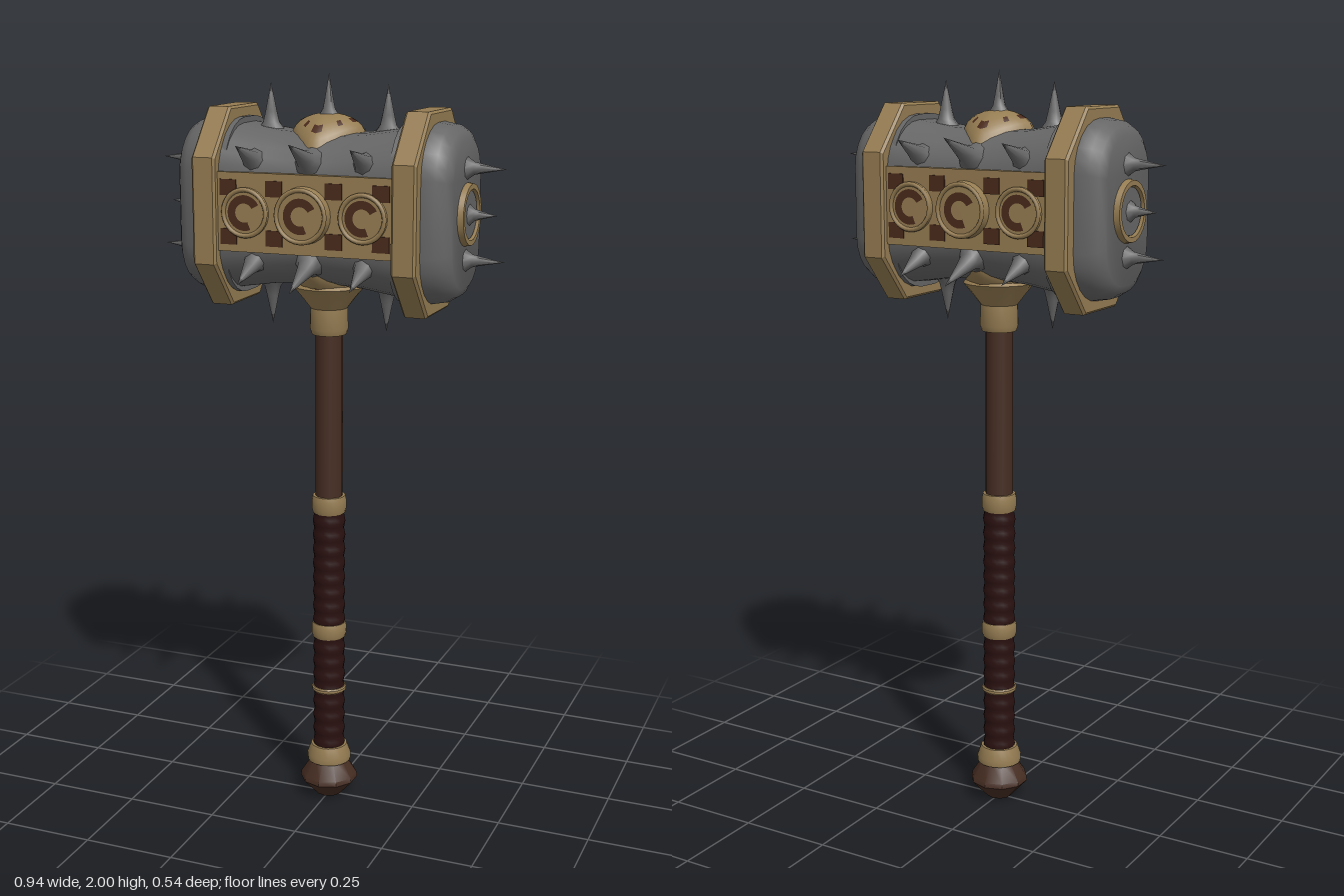
import * as THREE from 'three';
import { toCreasedNormals } from 'three/addons/utils/BufferGeometryUtils.js';

const HEAD_Y = 1.66;
const mat = (name, color) => Object.assign(new THREE.MeshStandardMaterial({ color }), { name });

export function createModel() {
  const steel = mat('steel', 0x666666);
  const brass = mat('brass', 0x957c52);
  const wood = mat('wood', 0x462d22);
  const leather = mat('grip leather', 0x2a1110);
  const stain = mat('dark inlay', 0x4a2a1b);

  const model = new THREE.Group();
  model.name = 'warHammer';
  const add = (parent, name, geo, material, x = 0, y = 0, z = 0) => {
    const mesh = new THREE.Mesh(geo, material);
    mesh.name = name;
    mesh.position.set(x, y, z);
    parent.add(mesh);
    return mesh;
  };
  const lathe = (pts, sides = 20, crease = 0.6) => toCreasedNormals(
    new THREE.LatheGeometry(pts.map(p => new THREE.Vector2(...p)), sides), crease);

  // Closed loft along x; each section is [x, halfZ, halfY, cornerZ, cornerY]
  function loft(sections, seg, crease) {
    const pos = [], idx = [], n = 4 * (seg + 1);
    for (const [x, hz, hy, cz, cy] of sections) {
      for (let q = 0; q < 4; q++) {
        const sz = q === 0 || q === 3 ? 1 : -1, sy = q < 2 ? 1 : -1;
        for (let k = 0; k <= seg; k++) {
          const a = (q + k / seg) * Math.PI / 2;
          pos.push(x, sy * (hy - cy) + cy * Math.sin(a), sz * (hz - cz) + cz * Math.cos(a));
        }
      }
    }
    const last = (sections.length - 1) * n;
    for (let s = 0; s < last; s += n) {
      for (let j = 0; j < n; j++) {
        const k = (j + 1) % n;
        idx.push(s + j, s + n + j, s + k, s + k, s + n + j, s + n + k);
      }
    }
    for (let j = 1; j < n - 1; j++) idx.push(0, j, j + 1, last, last + j + 1, last + j);
    const g = new THREE.BufferGeometry();
    g.setAttribute('position', new THREE.Float32BufferAttribute(pos, 3));
    g.setIndex(idx);
    return toCreasedNormals(g, crease);
  }

  // Faceted spike with a flared foot, pointing from one point to another
  function spike(parent, from, to, r) {
    const dir = new THREE.Vector3(...to).sub(new THREE.Vector3(...from));
    const h = dir.length();
    const geo = lathe([[r, 0], [r * 0.5, h * 0.22], [r * 0.36, h * 0.42], [0, h]], 8, 0.9);
    const m = add(parent, 'spike', geo, steel, ...from);
    m.quaternion.setFromUnitVectors(new THREE.Vector3(0, 1, 0), dir.normalize());
  }

  // Domed diamond plate bent over the head, with dark inlays in one row
  function diamondPlate() {
    const W = 32, rows = 7;
    const g = new THREE.SphereGeometry(1, W, rows, 0, Math.PI * 2, 0, Math.PI / 2);
    const p = g.attributes.position;
    for (let i = 0; i < p.count; i++) {
      const x = p.getX(i), y = p.getY(i), z = p.getZ(i), r = Math.hypot(x, z);
      const k = r < 1e-6 ? 1 : Math.pow(Math.abs(x / r) ** 1.35 + Math.abs(z / r) ** 1.35, -1 / 1.35);
      const pz = z * k * 0.12;
      p.setXYZ(i, x * k * 0.1, y * 0.055 - 2.8 * pz * pz, pz);
    }
    g.computeVertexNormals();
    const row = W * 3 + 2 * W * 6, next = row + W * 6;
    g.addGroup(0, row, 0);
    for (let s = 0; s < W; s++) g.addGroup(row + s * 6, 6, s % 4 === 0 || s % 8 === 7 ? 1 : 0);
    g.addGroup(next, g.index.count - next, 0);
    return g;
  }

  // Handle, from pommel to shaft
  add(model, 'pommel', lathe([[0, 0], [0.035, 0.003], [0.08, 0.052], [0.078, 0.065], [0.045, 0.115], [0, 0.115]], 10), wood);
  add(model, 'pommelCollar', lathe([[0, 0.105], [0.06, 0.108], [0.061, 0.125], [0.05, 0.155], [0, 0.158]]), brass);
  const ribs = [];
  for (let i = 0; i <= 68; i++) ribs.push([0.0425 + 0.0018 * Math.sin(i * Math.PI / 2), 0.15 + i * 0.0102]);
  add(model, 'grip', lathe(ribs, 16, 1.2), leather);
  add(model, 'shaft', new THREE.CylinderGeometry(0.036, 0.037, 0.56, 16), wood, 0, 1.12, 0);
  for (const [y, h, r] of [[0.325, 0.014, 0.048], [0.5, 0.042, 0.048], [0.862, 0.048, 0.047]]) {
    add(model, 'gripRing', lathe([[0, -h / 2], [r - 0.003, -h / 2], [r, -h / 4], [r, h / 4],
      [r - 0.003, h / 2], [0, h / 2]]), brass, 0, y, 0);
  }
  add(model, 'headSocket', lathe([[0, 1.33], [0.046, 1.33], [0.051, 1.345], [0.049, 1.4],
    [0.068, 1.425], [0.095, 1.458], [0.06, 1.49]], 20), brass);

  const head = new THREE.Group();
  head.name = 'head';
  head.position.y = HEAD_Y;
  model.add(head);

  // Waisted steel barrel
  add(head, 'barrel', loft([[-0.25, 0.168, 0.216, 0.13, 0.13], [-0.12, 0.158, 0.196, 0.12, 0.12],
    [0, 0.155, 0.188, 0.12, 0.12], [0.12, 0.158, 0.196, 0.12, 0.12], [0.25, 0.168, 0.216, 0.13, 0.13]], 6, 0.8), steel);

  // Striking ends
  for (const side of [0, 1]) {
    const end = new THREE.Group();
    end.name = side ? 'rightEnd' : 'leftEnd';
    end.rotation.y = side * Math.PI;
    head.add(end);
    add(end, 'strikingFace', loft([[0.22, 0.16, 0.226, 0.13, 0.13], [0.3, 0.155, 0.226, 0.13, 0.13],
      [0.335, 0.148, 0.22, 0.125, 0.125], [0.358, 0.135, 0.206, 0.115, 0.115],
      [0.37, 0.115, 0.186, 0.1, 0.1]], 6, 0.8), steel);
    add(end, 'endBand', loft([[0.235, 0.184, 0.249, 0.1, 0.118], [0.241, 0.19, 0.255, 0.103, 0.12],
      [0.294, 0.19, 0.255, 0.103, 0.12], [0.3, 0.184, 0.249, 0.1, 0.118]], 1, 0.4), brass);
    const ring = add(end, 'endRing', lathe([[0.064, 0], [0.08, 0], [0.077, 0.017], [0.064, 0.017], [0.064, 0]], 28), brass, 0.368, 0, 0);
    ring.rotation.z = -Math.PI / 2;
    const boss = add(end, 'endBoss', new THREE.CylinderGeometry(0.06, 0.066, 0.016, 28), steel, 0.37, 0, 0);
    boss.rotation.z = -Math.PI / 2;
    spike(end, [0.365, 0.115, 0], [0.472, 0.115, 0], 0.032);
    spike(end, [0.365, -0.115, 0], [0.472, -0.115, 0], 0.032);
    spike(end, [0.375, 0, 0], [0.45, 0, 0], 0.03);
  }

  // Front and back ornament panels with rosettes and diagonal spikes
  for (const side of [0, 1]) {
    const face = new THREE.Group();
    face.name = side ? 'backFace' : 'frontFace';
    face.rotation.y = side * Math.PI;
    head.add(face);
    add(face, 'panel', new THREE.BoxGeometry(0.47, 0.2, 0.04), brass, 0, 0, 0.152);
    for (const x of [-0.205, -0.08, 0.08, 0.205]) {
      for (const y of [-0.062, 0.062]) {
        add(face, 'panelInlay', new THREE.BoxGeometry(0.045, 0.04, 0.004), stain, x, y, 0.173);
      }
    }
    for (const x of [-0.158, 0, 0.158]) {
      const r = x ? 0.068 : 0.075, z = x ? 0.18 : 0.195;
      const disc = add(face, 'rosette', toCreasedNormals(new THREE.CylinderGeometry(r - 0.006, r, z - 0.15, 28), 0.6), brass, x, 0, (z + 0.15) / 2);
      disc.rotation.x = Math.PI / 2;
      add(face, 'rosetteRim', new THREE.TorusGeometry(r - 0.01, 0.006, 6, 28), brass, x, 0, z);
      add(face, 'rosetteInlay', new THREE.RingGeometry(0.024, 0.045, 24, 1, 0.5, 4.6), stain, x, 0, z + 0.002);
    }
    for (const x of [-0.15, 0, 0.15]) {
      for (const s of [-1, 1]) {
        spike(face, [x, s * 0.12, 0.122], [x, s * (x ? 0.172 : 0.182), x ? 0.245 : 0.268], 0.05);
      }
    }
  }

  // Top and bottom plates and spikes
  for (const s of [-1, 1]) {
    const plate = add(head, s > 0 ? 'topPlate' : 'bottomPlate', diamondPlate(), [brass, stain], 0, s * 0.186, 0);
    if (s < 0) plate.rotation.x = Math.PI;
    for (const x of [-0.16, 0.16]) spike(head, [x, s * 0.185, 0], [x, s * 0.314, 0], 0.045);
  }
  spike(head, [0, 0.225, 0], [0, 0.34, 0], 0.034);

  return model;
}
